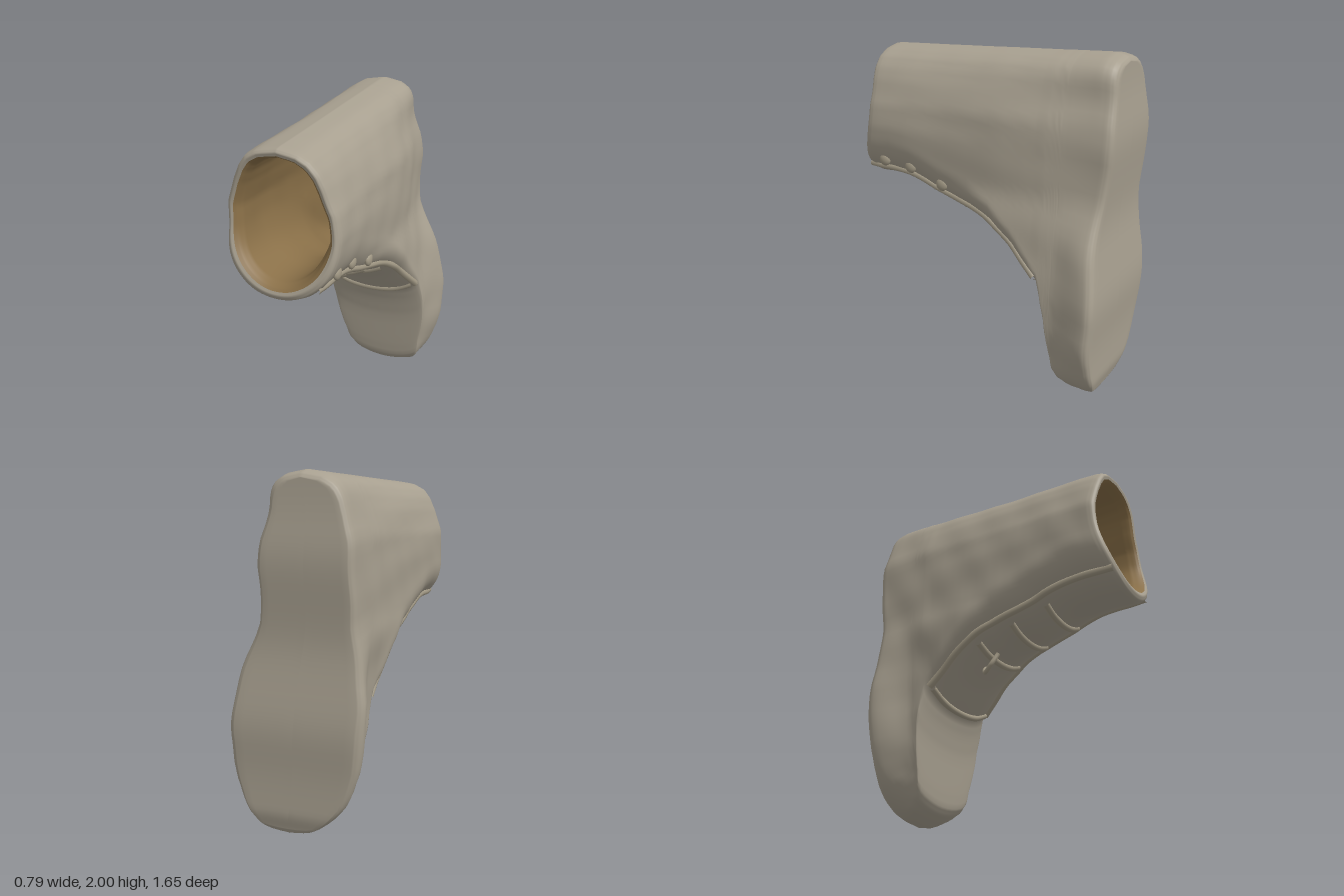
import * as THREE from 'three';

const leather = new THREE.MeshStandardMaterial({ color: 0xa8a090, side: THREE.DoubleSide });
const lining = new THREE.MeshStandardMaterial({ color: 0x8a7048, side: THREE.DoubleSide });
const trim = new THREE.MeshStandardMaterial({ color: 0xa39a86 });

// Footprint outline: [y, right edge, left edge]
const OUTLINE = [
  [0, 0.07, 0.07], [0.02, -0.05, 0.18], [0.06, -0.13, 0.24], [0.12, -0.2, 0.29], [0.2, -0.27, 0.335],
  [0.3, -0.325, 0.37], [0.4, -0.36, 0.385], [0.6, -0.39, 0.395], [0.8, -0.395, 0.37], [1.0, -0.38, 0.325],
  [1.2, -0.36, 0.285], [1.5, -0.365, 0.29], [1.65, -0.36, 0.275], [1.8, -0.32, 0.22], [1.88, -0.285, 0.18],
  [1.94, -0.24, 0.13], [1.98, -0.17, 0.06], [2.0, -0.05, -0.05],
];

// Sections from sole to collar rim: [z, bottom, top, bottom rounding, width scale]
const OUTER = [
  [-0.8, 0.05, 1.95, 0.02, 0], [-0.8, 0.05, 1.95, 0.02, 0.5], [-0.8, 0.04, 1.96, 0.02, 0.9],
  [-0.785, 0.015, 1.98, 0.02, 0.97], [-0.76, 0, 1.99, 0.02, 1], [-0.71, 0.01, 2, 0.02, 1],
  [-0.63, 0.035, 1.996, 0.03, 1], [-0.57, 0.06, 1.993, 0.06, 1], [-0.54, 0.1, 1.991, 0.08, 1],
  [-0.525, 0.2, 1.991, 0.09, 1], [-0.5, 0.42, 1.99, 0.1, 1], [-0.47, 0.55, 1.988, 0.11, 1],
  [-0.44, 0.64, 1.987, 0.12, 1], [-0.38, 0.69, 1.983, 0.15, 0.99], [-0.25, 0.81, 1.977, 0.19, 0.98],
  [-0.1, 0.92, 1.97, 0.22, 0.98], [0.05, 0.98, 1.962, 0.25, 0.98], [0.25, 1.03, 1.952, 0.27, 0.98],
  [0.45, 1.1, 1.942, 0.28, 1], [0.6, 1.12, 1.935, 0.29, 1], [0.72, 1.11, 1.93, 0.3, 1],
  [0.755, 1.12, 1.925, 0.3, 0.98], [0.77, 1.145, 1.91, 0.3, 0.93], [0.765, 1.165, 1.89, 0.3, 0.88],
];
// Hollow behind the rim, running back towards the sole
const INNER = [
  [0.765, 1.165, 1.89, 0.3, 0.88], [0.75, 1.18, 1.88, 0.3, 0.83], [0.7, 1.2, 1.865, 0.3, 0.78],
  [0.4, 1.2, 1.86, 0.3, 0.77], [0.05, 1.1, 1.87, 0.3, 0.77], [-0.25, 0.95, 1.88, 0.2, 0.77],
  [-0.5, 0.85, 1.88, 0.15, 0.74], [-0.6, 0.9, 1.85, 0.15, 0.6], [-0.62, 1, 1.8, 0.15, 0],
];

const ramp = (v, a, b) => THREE.MathUtils.smoothstep(v, a, b);
const hump = (v, centre, width) => Math.exp(-(((v - centre) / width) ** 2));

function edges(y) {
  let i = 1;
  while (i < OUTLINE.length - 1 && OUTLINE[i][0] < y) i++;
  const a = OUTLINE[i - 1], b = OUTLINE[i];
  const k = THREE.MathUtils.clamp((y - a[0]) / (b[0] - a[0]), 0, 1);
  return [THREE.MathUtils.lerp(a[1], b[1], k), THREE.MathUtils.lerp(a[2], b[2], k)];
}

// Point of a section at height fraction t, on the left (+1) or right (-1)
function sectionPoint([z, yb, yt, r, scale], t, side) {
  const y = yb + (yt - yb) * t;
  let [lo, hi] = edges(y + (2 - yt) * t);
  // The heel is slimmer than the collar, mostly on its left
  const heel = (1 - ramp(z, -0.85, -0.1)) * ramp(y, 0.85, 1.3) * (1 - ramp(y, 1.75, 1.98));
  lo += 0.02 * heel;
  hi -= 0.085 * heel;
  // The upper is set in from the sole edge around the toe
  const toe = ramp(z, -0.76, -0.53) * (1 - ramp(z, -0.45, -0.05)) * (1 - ramp(y, 0.75, 1.2)) * ramp(y, 0, 0.3);
  lo += 0.085 * toe;
  hi -= 0.05 * toe;
  const mid = (lo + hi) / 2;
  const u = Math.min(1, (y - yb) / r);
  const half = (hi - lo) / 2 * scale * Math.sqrt(Math.max(0, 1 - (1 - u) ** 2));
  const sole = 1 - ramp(z, -0.75, -0.55);
  const mouth = ramp(z, 0.35, 0.75);
  const dzSole = 0.018 * hump(y, 1.08, 0.2) + 0.03 * (1 - ramp(y, 0, 0.15))
    - 0.022 * hump(y, 0.62, 0.2) - 0.022 * hump(y, 1.55, 0.2);
  const dzMouth = 0.065 * (1 - ramp(y, 1.1, 1.5)) - 0.02 * hump(y, 1.6, 0.2);
  const lump = 0.005 * Math.sin(y * 17 + z * 9 + side) * Math.sin(z * 13 - y * 5) * ramp(half, 0.02, 0.15);
  return new THREE.Vector3(mid + side * (half + lump), y, z + sole * dzSole + mouth * dzMouth);
}

// Section interpolated at any depth z
function sectionAt(z) {
  let i = 5;
  while (OUTER[i][0] < z) i++;
  const a = OUTER[i - 1], b = OUTER[i], k = (z - a[0]) / (b[0] - a[0]);
  return a.map((v, n) => v + (b[n] - v) * k);
}

// Subdivide the rows and skin them into one smooth surface
function loft(rows, name, material) {
  const N = 96, STEPS = 3, pos = [], idx = [], fine = [rows[0]];
  for (let i = 1; i < rows.length; i++) {
    for (let s = 1; s <= STEPS; s++) {
      fine.push(rows[i].map((v, n) => THREE.MathUtils.lerp(rows[i - 1][n], v, s / STEPS)));
    }
  }
  for (const row of fine) {
    for (let j = 0; j < N; j++) {
      const a = j / N * Math.PI * 2;
      pos.push(...sectionPoint(row, (1 - Math.cos(a)) / 2, j < N / 2 ? 1 : -1).toArray());
    }
  }
  for (let i = 0; i < fine.length - 1; i++) {
    for (let j = 0; j < N; j++) {
      const k = (j + 1) % N;
      const a = i * N + j, b = i * N + k, c = b + N, d = a + N;
      idx.push(a, b, c, a, c, d);
    }
  }
  const g = new THREE.BufferGeometry();
  g.setAttribute('position', new THREE.Float32BufferAttribute(pos, 3));
  g.setIndex(idx);
  g.computeVertexNormals();
  const m = new THREE.Mesh(g, material);
  m.name = name;
  return m;
}

function tube(points, radius, name) {
  const m = new THREE.Mesh(new THREE.TubeGeometry(new THREE.CatmullRomCurve3(points), 40, radius, 8), trim);
  m.name = name;
  return m;
}

// Point on the outer surface, a given height above the lower edge
function onSurface(z, rise, side) {
  const row = sectionAt(z);
  return sectionPoint(row, rise / (row[2] - row[1]), side);
}

export function createModel() {
  const boot = new THREE.Group();
  boot.name = 'boot';
  boot.add(loft(OUTER, 'bootShell', leather), loft(INNER, 'lining', lining));

  // Raised edges of the lacing flaps
  for (const side of [-1, 1]) {
    const edge = [];
    for (let z = -0.42; z < 0.76; z += 0.09) edge.push(onSurface(z, 0.085, side));
    boot.add(tube(edge, 0.022, side > 0 ? 'leftFlapEdge' : 'rightFlapEdge'));
  }

  // Worn eyelets on the left flap
  for (const z of [0.24, 0.46, 0.63]) {
    const eyelet = new THREE.Mesh(new THREE.SphereGeometry(0.04, 14, 10), trim);
    eyelet.position.copy(onSurface(z, 0.14, 1));
    eyelet.scale.x = 0.5;
    eyelet.name = 'eyelet';
    boot.add(eyelet);
  }

  // Laces crossing the instep, and the toe cap seam
  const across = (z, rise, r, name) => {
    const ends = [-1, 1].map((side) => [onSurface(z, rise, side), onSurface(z, rise * 0.25, side)]);
    boot.add(tube([...ends[0], onSurface(z, 0, 1), ends[1][1], ends[1][0]], r, name));
  };
  for (const z of [-0.1, 0.12, 0.35]) across(z, 0.05, 0.022, 'lace');
  across(-0.41, 0.07, 0.02, 'toeCapSeam');

  // Loose lace loop
  const knot = onSurface(-0.1, 0, 1);
  boot.add(tube([[-0.1, 0.01, 0.06], [-0.12, -0.06, 0.02], [-0.1, -0.09, -0.03], [-0.06, -0.05, -0.06], [-0.02, 0.0, -0.03]]
    .map(([x, y, z]) => new THREE.Vector3(knot.x + x, knot.y + y, knot.z + z)), 0.014, 'laceLoop'));
  return boot;
}
